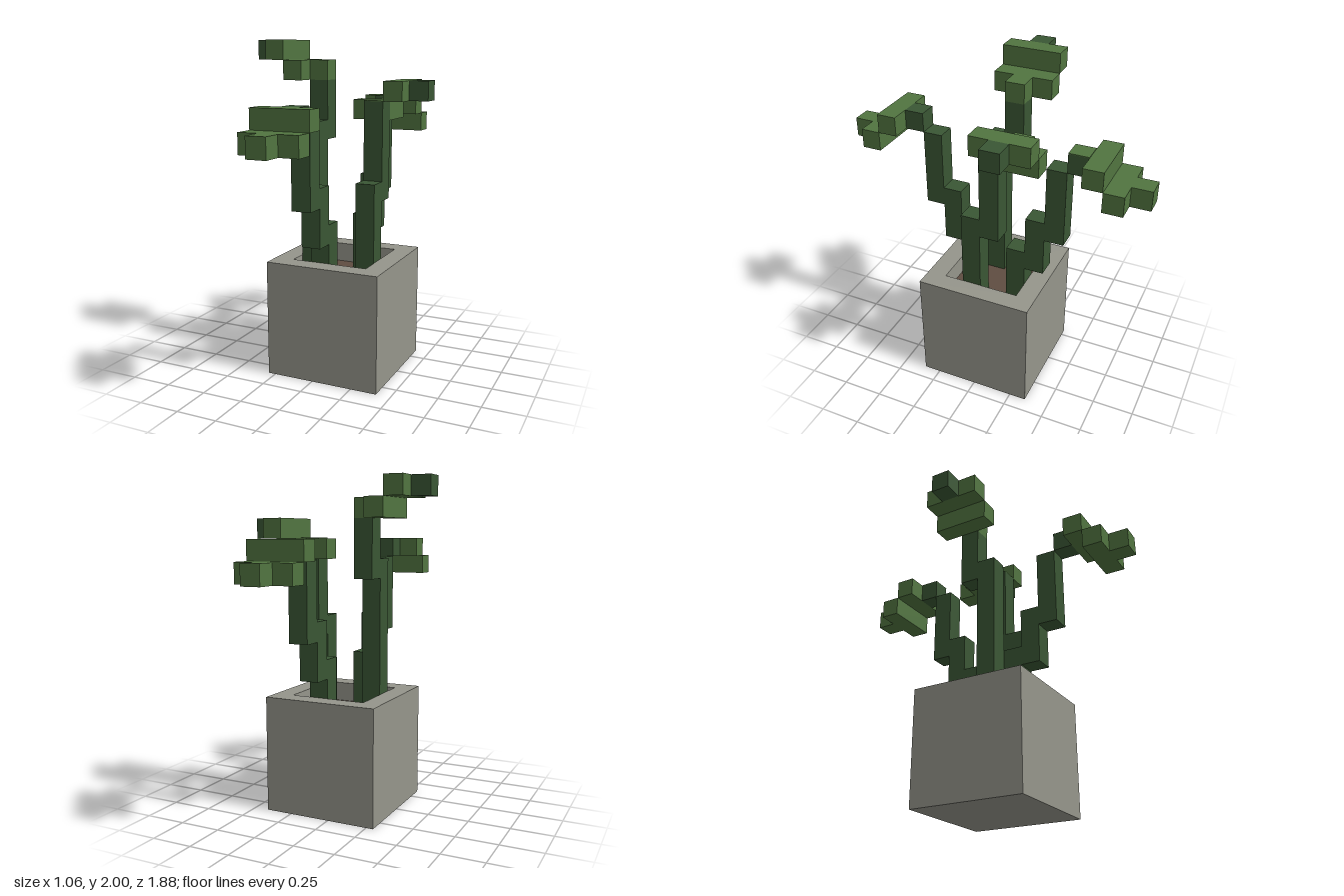
import * as THREE from 'three';

const U = 2 / 17; // edge of one cube

export function createModel() {
  const model = new THREE.Group();
  model.name = 'pottedPlant';
  const mat = (name, color) => {
    const m = new THREE.MeshStandardMaterial({ color });
    m.name = name;
    return m;
  };
  const stone = mat('stoneGrey', 0x95958b);
  const earth = mat('earthBrown', 0x5f4d41);
  const dark = mat('stemGreen', 0x3a5634);
  const light = mat('leafGreen', 0x517440);

  // Box given by its cell limits along x, y and z
  const block = (parent, name, material, [x0, x1], [y0, y1], [z0, z1]) => {
    const geo = new THREE.BoxGeometry((x1 - x0) * U, (y1 - y0) * U, (z1 - z0) * U);
    const mesh = new THREE.Mesh(geo, material);
    mesh.position.set(((x0 + x1) / 2 - 4.5) * U, ((y0 + y1) / 2) * U, ((z0 + z1) / 2 - 8) * U);
    mesh.name = name;
    parent.add(mesh);
  };
  const plant = (name) => {
    const g = new THREE.Group();
    g.name = name;
    model.add(g);
    return g;
  };

  // Pot: square tube with a floor, filled with soil to one cube below the rim
  const square = (path, half) => {
    path.moveTo(-half, -half);
    path.lineTo(half, -half);
    path.lineTo(half, half);
    path.lineTo(-half, half);
    path.closePath();
    return path;
  };
  const outline = square(new THREE.Shape(), 3 * U);
  outline.holes.push(square(new THREE.Path(), 2 * U));
  const potGeo = new THREE.ExtrudeGeometry(outline, { depth: 6 * U, bevelEnabled: false });
  potGeo.rotateX(-Math.PI / 2);
  const pot = new THREE.Mesh(potGeo, stone);
  pot.name = 'pot';
  pot.position.x = 0.5 * U;
  model.add(pot);
  block(model, 'potFloor', stone, [3, 7], [0, 1], [6, 10]);
  block(model, 'soil', earth, [3, 7], [1, 5], [6, 10]);

  // Front and back plants: three stepped stem pieces and a drooping leaf cluster
  for (const [name, x, dir] of [['frontPlant', 4, 1], ['backPlant', 5, -1]]) {
    const g = plant(name);
    const cell = (n) => (dir > 0 ? [n, n + 1] : [15 - n, 16 - n]);
    const one = [x, x + 1], wide = [x - 1, x + 2];
    block(g, 'lowerStem', dark, one, [5, 8], cell(9));
    block(g, 'middleStem', dark, one, [7, 10], cell(10));
    block(g, 'upperStem', dark, one, [9, 13], cell(11));
    block(g, 'leafStalk', dark, one, [13, 14], cell(12));
    block(g, 'innerLeaf', light, wide, [13, 14], cell(13));
    block(g, 'outerLeaf', light, wide, [12, 13], cell(14));
    block(g, 'leafTip', light, one, [12, 13], cell(15));
    if (dir < 0) block(g, 'stalkTop', light, one, [14, 14.04], cell(12));
  }

  // Tall plant on the -x side, leaf cluster rising outward
  const tall = plant('tallPlant');
  block(tall, 'lowerStem', dark, [3, 4], [5, 13], [8, 9]);
  block(tall, 'upperStem', dark, [3, 4], [12, 15], [7, 8]);
  block(tall, 'leafBase', light, [3, 4], [15, 16], [7, 8]);
  block(tall, 'innerLeaf', light, [2, 3], [15, 16], [6, 9]);
  block(tall, 'outerLeaf', light, [1, 2], [16, 17], [6, 9]);
  block(tall, 'leafTip', dark, [0, 1], [16, 17], [7, 8]);

  // Side plant on the +x side
  const side = plant('sidePlant');
  block(side, 'lowerStem', dark, [6, 7], [5, 10], [8, 9]);
  block(side, 'upperStem', dark, [6, 7], [9, 14], [7, 8]);
  block(side, 'stemTop', light, [6, 7], [14, 14.04], [7, 8]);
  block(side, 'leafBase', light, [5, 6], [13, 14], [6, 7]);
  block(side, 'innerLeaf', light, [6, 7], [13, 14], [5, 7]);
  block(side, 'outerLeaf', light, [7, 8], [14, 15], [5, 8]);
  block(side, 'leafTip', dark, [8, 9], [14, 15], [6, 7]);

  return model;
}
